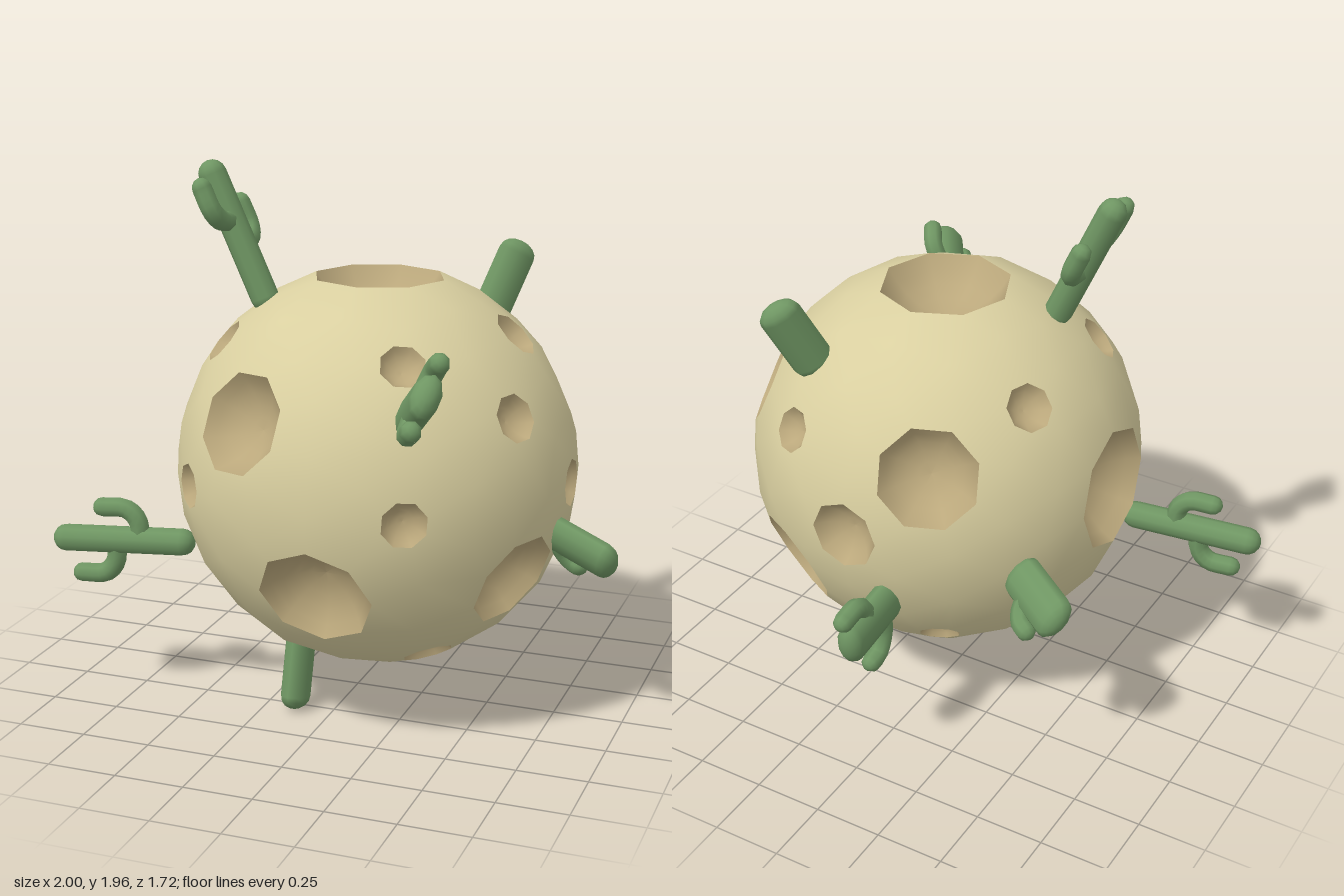
import * as THREE from 'three';
import { ConvexGeometry } from 'three/addons/geometries/ConvexGeometry.js';

const CENTER = new THREE.Vector3(0.1, 0.89, 0.07);
const R = 0.71;
const UP = new THREE.Vector3(0, 1, 0);
const V = (x, y, z) => new THREE.Vector3(x, y, z);

// Crater directions from the planet centre and rim radii
const CRATERS = [
  [0, 1, -0.02, 0.235], [-0.99, 0.05, 0, 0.225],
  [-0.275, 0.265, 0.57, 0.18], [0, -0.29, 0.61, 0.2],
  [-0.51, 0, 0.49, 0.08], [0.31, 0, 0.62, 0.08],
  [0.245, 0.47, 0.45, 0.08], [-0.475, 0.46, 0.25, 0.085],
  [0.58, 0.29, 0.28, 0.085], [0.57, -0.28, 0.25, 0.18],
  [0.285, -0.58, 0.28, 0.09], [0.5, 0.51, -0.01, 0.09],
  [0.58, 0.27, -0.28, 0.18], [1, 0, 0, 0.085],
  [0.58, -0.265, -0.3, 0.125], [0.31, -0.28, -0.56, 0.185],
  [-0.475, 0.44, -0.27, 0.085], [-0.27, 0.265, -0.59, 0.18],
  [0.28, 0.29, -0.59, 0.08], [0, 0.02, -1, 0.125],
  [-0.35, -0.65, -0.68, 0.075],
].map(([x, y, z, r]) => {
  const dir = V(x, y, z).normalize();
  const turn = new THREE.Quaternion().setFromUnitVectors(UP, dir);
  const h = Math.sqrt(R * R - r * r);
  const rim = [];
  for (let i = 0; i < 8; i++) {
    const a = (i / 8) * Math.PI * 2;
    rim.push(V(r * Math.sin(a), h, r * Math.cos(a)).applyQuaternion(turn));
  }
  return { dir, turn, r, h, rim };
});

// Coarse ball whose facets leave an open polygon at every crater
function ballGeometry() {
  const points = new Map();
  const key = (p) => [p.x, p.y, p.z].map((n) => Math.round(n * 1e4)).join();
  const ico = new THREE.IcosahedronGeometry(R, 3).attributes.position;
  for (let i = 0; i < ico.count; i++) {
    const p = V(0, 0, 0).fromBufferAttribute(ico, i);
    if (CRATERS.every((c) => p.angleTo(c.dir) > Math.asin(c.r / R) + 0.05)) points.set(key(p), p);
  }
  CRATERS.forEach((c) => c.rim.forEach((p) => points.set(key(p), p)));

  const hull = new ConvexGeometry([...points.values()]).attributes.position;
  const pos = [], nor = [];
  for (let i = 0; i < hull.count; i += 3) {
    const tri = [0, 1, 2].map((k) => V(0, 0, 0).fromBufferAttribute(hull, i + k));
    // Drop the flat lids spanning crater rims
    const lid = CRATERS.some((c) => tri.every((p) => p.dot(c.dir) > c.h - 1e-3));
    if (lid) continue;
    tri.forEach((p) => {
      pos.push(p.x, p.y, p.z);
      nor.push(p.x / R, p.y / R, p.z / R);
    });
  }
  const g = new THREE.BufferGeometry();
  g.setAttribute('position', new THREE.Float32BufferAttribute(pos, 3));
  g.setAttribute('normal', new THREE.Float32BufferAttribute(nor, 3));
  return g;
}

// Spherical bowl hanging below a rim at y = 0
function bowlGeometry(r) {
  const depth = 0.6 * r;
  const s = (r * r + depth * depth) / (2 * depth);
  const max = Math.asin(r / s);
  const profile = [];
  for (let i = 0; i <= 5; i++) {
    const a = max * (1 - i / 5);
    profile.push(new THREE.Vector2(s * Math.sin(a), s - depth - s * Math.cos(a)));
  }
  return new THREE.LatheGeometry(profile, 8);
}

// Rounded trunk from base to tip; arms leave along the wide direction
// and bend towards the tip. Each arm: [offset, start, end] along the trunk.
function cactus(name, mat, { base, tip, wide, halfWide = 0.05, halfThin = 0.05, arms = [] }) {
  const g = new THREE.Group();
  g.name = name;
  const a = V(...base), axis = V(...tip).sub(a);
  const length = axis.length();
  axis.normalize();
  const x = V(...wide).addScaledVector(axis, -V(...wide).dot(axis)).normalize();
  const z = V(0, 0, 0).crossVectors(x, axis);
  g.quaternion.setFromRotationMatrix(new THREE.Matrix4().makeBasis(x, axis, z));
  g.position.copy(a);

  const trunk = new THREE.Mesh(new THREE.CapsuleGeometry(halfThin, length - 2 * halfThin, 4, 10), mat);
  trunk.name = 'trunk';
  trunk.position.y = length / 2;
  trunk.scale.x = halfWide / halfThin;
  g.add(trunk);

  for (const [offset, start, end] of arms) {
    const path = new THREE.CatmullRomCurve3([
      V(0, start, 0), V(offset * 0.65, start + 0.01, 0),
      V(offset * 0.97, start + 0.05, 0), V(offset, end - 0.035, 0),
    ]);
    const arm = new THREE.Mesh(new THREE.TubeGeometry(path, 10, 0.036, 8), mat);
    arm.name = 'arm';
    const cap = new THREE.Mesh(new THREE.SphereGeometry(0.036, 8, 6), mat);
    cap.name = 'armTip';
    cap.position.set(offset, end - 0.035, 0);
    g.add(arm, cap);
  }
  return g;
}

export function createModel() {
  const material = (name, color) => {
    const m = new THREE.MeshStandardMaterial({ color });
    m.name = name;
    return m;
  };
  const sand = material('sand', 0xd9cfa0);
  const craterBrown = material('craterBrown', 0xbba87c);
  craterBrown.side = THREE.DoubleSide;
  const green = material('cactusGreen', 0x6f9663);

  const model = new THREE.Group();
  model.name = 'desertPlanet';

  const planet = new THREE.Group();
  planet.name = 'planet';
  planet.position.copy(CENTER);
  const ball = new THREE.Mesh(ballGeometry(), sand);
  ball.name = 'ground';
  planet.add(ball);
  for (const c of CRATERS) {
    const bowl = new THREE.Mesh(bowlGeometry(c.r), craterBrown);
    bowl.name = 'crater';
    bowl.quaternion.copy(c.turn);
    bowl.position.copy(c.dir).multiplyScalar(c.h);
    planet.add(bowl);
  }
  model.add(planet);

  const cacti = {
    tallCactus: { base: [-0.25, 1.44, 0.2], tip: [-0.48, 1.95, 0.2], wide: [0, 0, 1],
      arms: [[0.12, 0.34, 0.51], [-0.12, 0.25, 0.42]] },
    longSideCactus: { base: [-0.48, 0.615, 0.37], tip: [-1, 0.602, 0.45], wide: [0, 1, 0],
      arms: [[0.12, 0.2, 0.37], [-0.13, 0.29, 0.46]] },
    frontCactus: { base: [0.38, 1.2, 0.56], tip: [0.52, 1.36, 0.78], wide: [0.2, 0.78, -0.58],
      halfWide: 0.08, arms: [[0.13, 0.12, 0.27], [-0.12, 0.14, 0.28]] },
    topCactus: { base: [0.37, 1.33, -0.34], tip: [0.465, 1.615, -0.465], wide: [0.65, -0.47, -0.58],
      halfWide: 0.075 },
    bottomCactus: { base: [-0.13, 0.32, 0.22], tip: [-0.135, 0, 0.3], wide: [0, 0.25, 0.97],
      halfWide: 0.08 },
    sideCactus: { base: [0.7, 0.75, 0.12], tip: [1, 0.65, 0.2], wide: [0, 0.85, 0.5],
      halfWide: 0.075, arms: [[-0.11, 0.1, 0.21]] },
    backCactus: { base: [-0.03, 0.65, -0.5], tip: [-0.03, 0.6, -0.84], wide: [0, 1, 0],
      halfWide: 0.085, arms: [[0.12, 0.2, 0.36], [-0.18, 0.11, 0.24]] },
    backSideCactus: { base: [-0.42, 0.78, -0.35], tip: [-0.68, 0.745, -0.52], wide: [-0.35, 0.8, 0.5],
      halfWide: 0.08, arms: [[-0.11, 0.12, 0.24]] },
  };
  for (const [name, spec] of Object.entries(cacti)) model.add(cactus(name, green, spec));
  return model;
}
